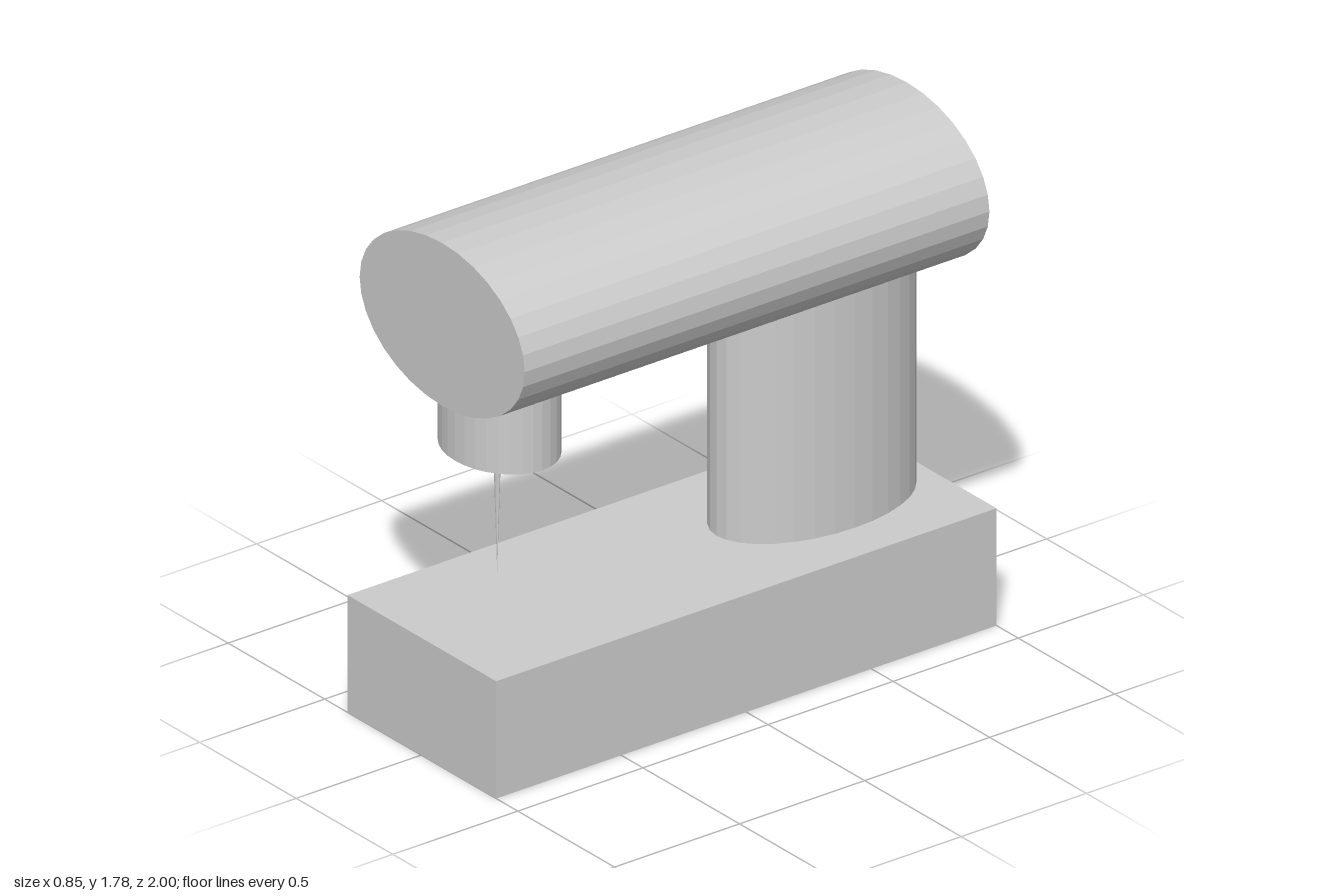
import * as THREE from 'three';

const material = new THREE.MeshStandardMaterial({ color: 0xcccccc, flatShading: true });

function part(name, geometry, x, y, z) {
  const mesh = new THREE.Mesh(geometry, material);
  mesh.name = name;
  mesh.position.set(x, y, z);
  return mesh;
}

// Upright elliptical cylinder between two heights
function ellipticPost(name, rx, rz, y0, y1, x, z) {
  const geometry = new THREE.CylinderGeometry(1, 1, y1 - y0, 32).scale(rx, 1, rz);
  return part(name, geometry, x, (y0 + y1) / 2, z);
}

export function createModel() {
  const model = new THREE.Group();
  model.name = 'sewingMachine';

  // Rectangular bed
  model.add(part('base', new THREE.BoxGeometry(0.77, 0.415, 2), 0.003, 0.2075, 0));

  // Rear column and front needle head, both rising into the arm
  model.add(ellipticPost('column', 0.223, 0.381, 0.41, 1.64, 0, -0.561));
  model.add(ellipticPost('needleHead', 0.223, 0.178, 1, 1.5, 0, 0.687));

  // Horizontal oval arm
  const arm = new THREE.CylinderGeometry(1, 1, 1.858, 32)
    .rotateX(Math.PI / 2)
    .scale(0.427, 0.288, 1);
  model.add(part('arm', arm, -0.002, 1.497, -0.014));

  // Tapered needle pointing down
  const needle = new THREE.ConeGeometry(1, 0.455, 32).rotateX(Math.PI).scale(0.016, 1, 0.011);
  model.add(part('needle', needle, -0.011, 0.7725, 0.688));

  return model;
}
